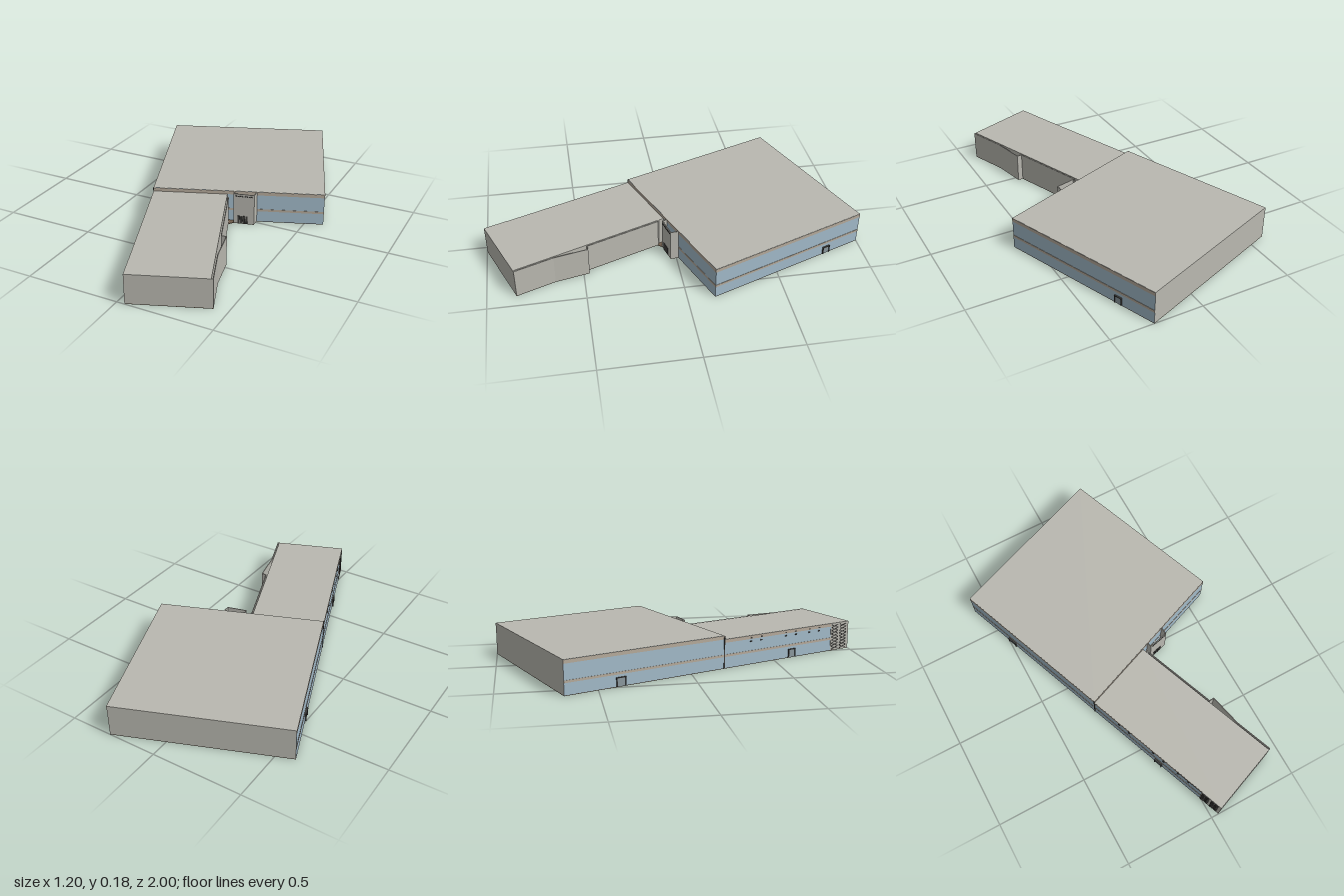
import * as THREE from 'three';

export function createModel() {
  const model = new THREE.Group();
  model.name = 'building';

  const mat = (name, color) => {
    const m = new THREE.MeshStandardMaterial({ color });
    m.name = name;
    return m;
  };
  const grey = mat('concrete grey', 0xb9b8b0);
  const blue = mat('cladding blue', 0xa2bac9);
  const tan = mat('band tan', 0xb5aa9b);
  const brown = mat('ground brown', 0x6f5d4b);
  const dark = mat('dark trim', 0x3e3d3b);
  const door = mat('door grey', 0x8a979d);

  // Site frame: origin where the two blocks meet on the west side
  const site = new THREE.Group();
  site.name = 'site';
  site.rotation.y = 0.366;
  site.position.set(-0.267, 0, 0.19);
  model.add(site);

  // Box given by its minimum and maximum corners
  const block = (name, material, [x0, y0, z0], [x1, y1, z1]) => {
    const mesh = new THREE.Mesh(new THREE.BoxGeometry(x1 - x0, y1 - y0, z1 - z0), material);
    mesh.position.set((x0 + x1) / 2, (y0 + y1) / 2, (z0 + z1) / 2);
    mesh.name = name;
    site.add(mesh);
    return mesh;
  };

  // Thin upright walls along a plan path of [x, z] points
  const wallPath = (name, points, height) => {
    for (let i = 0; i < points.length - 1; i++) {
      const [ax, az] = points[i], [bx, bz] = points[i + 1];
      const length = Math.hypot(bx - ax, bz - az);
      const mesh = new THREE.Mesh(new THREE.BoxGeometry(length + 0.003, height - 0.003, 0.004), grey);
      mesh.position.set((ax + bx) / 2, (height + 0.003) / 2, (az + bz) / 2);
      mesh.rotation.y = -Math.atan2(bz - az, bx - ax);
      mesh.name = name;
      site.add(mesh);
    }
  };

  // Flat ground plate with a plan outline
  const plate = (name, points) => {
    const shape = new THREE.Shape(points.map(([x, z]) => new THREE.Vector2(x, -z)));
    const geometry = new THREE.ExtrudeGeometry(shape, { depth: 0.003, bevelEnabled: false });
    geometry.rotateX(-Math.PI / 2);
    const mesh = new THREE.Mesh(geometry, brown);
    mesh.name = name;
    site.add(mesh);
  };

  const W = 0.925, D = 0.92, H = 0.18;      // hall
  const w = 0.402, d = 0.865, h = 0.16;     // wing

  // Foundation under the hall, wing, entrance and screen wall
  plate('foundation', [
    [0, -D], [W, -D], [W, 0], [0.562, 0], [0.55, 0.041], [0.44, 0.028], [0.412, 0.045],
    [0.412, 0.459], [0.438, 0.468], [0.411, 0.649], [0.412, d], [0, d],
  ]);

  // Main blocks: blue long sides, grey ends and roofs
  block('hall', [blue, blue, grey, brown, blue, grey], [0, 0.003, -D], [W, H, 0]);
  block('wing', [grey, blue, grey, brown, grey, grey], [0, 0.003, 0], [w, h, d]);

  // Tan bands on the blue sides
  const t = 0.0015;
  for (const [y0, y1] of [[0.064, 0.077], [0.16, H - 0.001]]) {
    block('hallWestBand', tan, [-t, y0, -D], [0, y1, 0]);
    block('hallEastBand', tan, [W, y0, -D], [W + t, y1, 0]);
    block('hallFrontBand', tan, [y1 > 0.1 ? 0 : w, y0, 0], [W, y1, t]);
  }
  for (const [y0, y1] of [[0.064, 0.077], [0.141, h - 0.001]]) {
    block('wingWestBand', tan, [-t, y0, 0], [0, y1, 0.735]);
  }

  // Corner trim where the blocks meet
  block('cornerTrim', dark, [-0.003, 0.003, -0.003], [0, H - 0.001, 0.003]);

  // Screen wall along the east side of the wing, stepping out at its middle
  wallPath('screenWall', [
    [w, d - 0.002], [0.41, d - 0.002], [0.41, 0.649], [0.436, 0.468], [0.41, 0.46], [0.41, 0.04], [w, 0.03],
  ], h);

  // Splayed open-topped entrance tower against the hall
  wallPath('entranceTower', [[0.44, 0.002], [0.44, 0.027], [0.549, 0.04], [0.561, 0.002]], H - 0.002);
  const front = new THREE.Group();
  front.name = 'entranceFront';
  front.position.set(0.4945, 0, 0.0335);
  front.rotation.y = -Math.atan2(0.013, 0.109);
  site.add(front);
  const onFront = (name, x, y, sx, sy) => {
    const mesh = new THREE.Mesh(new THREE.BoxGeometry(sx, sy, 0.003), dark);
    mesh.position.set(x, y, 0.003);
    mesh.name = name;
    front.add(mesh);
  };
  for (const x of [-0.027, -0.013, 0.001, 0.015]) onFront('entranceDoor', x, 0.026, 0.011, 0.044);
  for (let i = 0; i < 8; i++) onFront('entranceVent', -0.042 + i * 0.012, 0.165, 0.008, 0.005);

  // Side doors with projecting frames
  const sideDoor = (name, x, side, z, width, height) => {
    const span = (a, b) => (side > 0 ? [x + a, x + b] : [x - b, x - a]);
    const part = (n, m, out, z0, z1, y0, y1) => {
      const [x0, x1] = span(0, out);
      block(n, m, [x0, y0, z0], [x1, y1, z1]);
    };
    const a = z - width / 2, b = z + width / 2;
    part(name + 'Panel', door, 0.004, a, b, 0.003, height);
    part(name + 'Frame', dark, 0.008, a - 0.004, a, 0.003, height + 0.004);
    part(name + 'Frame', dark, 0.008, b, b + 0.004, 0.003, height + 0.004);
    part(name + 'Lintel', dark, 0.008, a, b, height, height + 0.004);
  };
  sideDoor('hallWestDoor', 0, -1, -0.615, 0.045, 0.046);
  sideDoor('wingWestDoor', 0, -1, 0.452, 0.04, 0.046);
  sideDoor('hallEastDoor', W, 1, -0.705, 0.036, 0.042);

  // Small vents in two rows on the west side of the wing
  for (const z of [0.173, 0.243, 0.41, 0.48, 0.578, 0.648]) {
    for (const y of [0.128, 0.147]) {
      block('vent', dark, [-0.003, y - 0.003, z - 0.006], [0, y + 0.003, z + 0.006]);
    }
  }

  // Lattice panel at the far end of the west side
  block('latticeBack', grey, [-0.002, 0.003, 0.735], [0, h, d]);
  for (let row = 0; row < 8; row++) {
    for (const z of [0.765, 0.825]) {
      for (const s of [-1, 1]) {
        const bar = block('latticeBar', dark, [-0.004, 0, 0], [-0.002, 0.004, 0.048]);
        bar.position.set(-0.003, 0.016 + row * 0.018, z);
        bar.rotation.x = s * 0.32;
      }
    }
  }
  return model;
}
